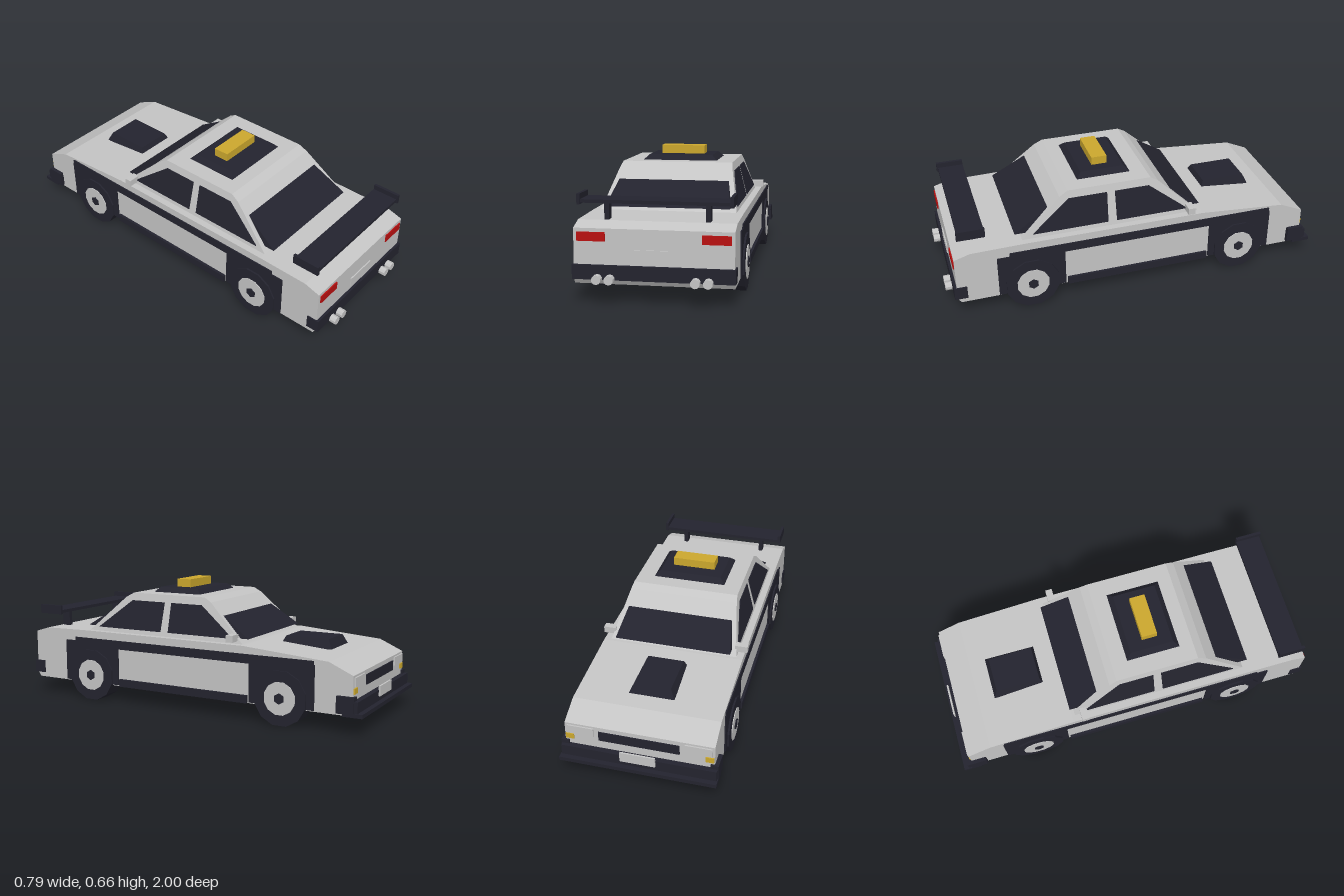
import * as THREE from 'three';

const paint = (name, color) => {
  const m = new THREE.MeshStandardMaterial({ color });
  m.name = name;
  return m;
};

export function createModel() {
  const silver = paint('silver', 0xc4c4c4);
  const black = paint('charcoal', 0x23232e);
  const yellow = paint('amber', 0xcba72d);
  const red = paint('red', 0xb81010);

  const car = new THREE.Group();
  car.name = 'car';

  const add = (name, geometry, material, parent = car) => {
    const flat = geometry.index ? geometry.toNonIndexed() : geometry;
    flat.computeVertexNormals();
    const mesh = new THREE.Mesh(flat, material);
    mesh.name = name;
    parent.add(mesh);
    return mesh;
  };

  // Box given by its limits on each axis
  const box = (name, material, [x0, x1], [y0, y1], [z0, z1], parent) =>
    add(name, new THREE.BoxGeometry(x1 - x0, y1 - y0, z1 - z0)
      .translate((x0 + x1) / 2, (y0 + y1) / 2, (z0 + z1) / 2), material, parent);

  // Same box on both sides of the car
  const pair = (name, material, [x0, x1], ys, zs) => {
    box(name + 'Left', material, [x0, x1], ys, zs);
    box(name + 'Right', material, [-x1, -x0], ys, zs);
  };

  // Side profile of [z, y] points, extruded across x; place(x, y) moves each x from -0.5..0.5
  const prism = (name, material, profile, place) => {
    const shape = new THREE.Shape(profile.map(([z, y]) => new THREE.Vector2(z, y)));
    const g = new THREE.ExtrudeGeometry(shape, { depth: 1, bevelEnabled: false });
    g.translate(0, 0, -0.5).rotateY(-Math.PI / 2);
    const p = g.attributes.position;
    for (let i = 0; i < p.count; i++) p.setX(i, place(p.getX(i), p.getY(i)));
    return add(name, g, material);
  };

  // Box whose top face is drawn in by an inset
  const frustum = (name, material, [x0, x1], [y0, y1], [z0, z1], inset) => {
    const w = x1 - x0, d = z1 - z0;
    const g = new THREE.BoxGeometry(w, y1 - y0, d);
    const p = g.attributes.position;
    for (let i = 0; i < p.count; i++) {
      if (p.getY(i) < 0) continue;
      p.setX(i, p.getX(i) * (1 - 2 * inset / w));
      p.setZ(i, p.getZ(i) * (1 - 2 * inset / d));
    }
    g.translate((x0 + x1) / 2, (y0 + y1) / 2, (z0 + z1) / 2);
    return add(name, g, material);
  };

  // Body shell; the nose points to -z
  prism('body', silver, [
    [0.935, 0.09], [0.952, 0.115], [0.952, 0.35], [0.87, 0.375], [0.6, 0.379],
    [-0.36, 0.377], [-0.82, 0.341], [-0.945, 0.285], [-0.945, 0.09],
  ], (x) => x * 0.74);

  // Cabin with sides leaning inwards
  const cabinHalf = (y) => 0.335 - (y - 0.378) * 0.25;
  prism('cabin', silver, [
    [0.61, 0.37], [0.39, 0.568], [0.345, 0.593], [-0.095, 0.593], [-0.135, 0.57], [-0.35, 0.37],
  ], (x, y) => 2 * x * cabinHalf(y));

  // Front and rear screens, standing slightly proud of the cabin
  const screenX = (x, y) => 2 * x * (cabinHalf(y) - 0.024);
  prism('rearScreen', black, [[0.632, 0.4], [0.435, 0.523], [0.36, 0.523], [0.5, 0.4]], screenX);
  prism('windscreen', black, [[-0.362, 0.4], [-0.25, 0.4], [-0.12, 0.523], [-0.178, 0.523]], screenX);

  // Side windows as thin plates following the lean of the cabin
  for (const side of [-1, 1]) {
    const plate = (x, y) => side * cabinHalf(y) + x * 0.009;
    const tag = side > 0 ? 'Left' : 'Right';
    prism('rearSideWindow' + tag, black, [[0.543, 0.4], [0.345, 0.553], [0.142, 0.553], [0.147, 0.4]], plate);
    prism('frontSideWindow' + tag, black, [[0.1, 0.4], [0.1, 0.553], [-0.083, 0.553], [-0.285, 0.4]], plate);
  }

  // Side trim
  pair('rearArchPanel', black, [0.368, 0.376], [0.095, 0.318], [0.39, 0.74]);
  pair('frontArchPanel', black, [0.368, 0.376], [0.095, 0.318], [-0.75, -0.4]);
  pair('sideStripe', black, [0.368, 0.3765], [0.292, 0.338], [-0.745, 0.675]);
  pair('sill', black, [0.368, 0.384], [0.09, 0.13], [-0.39, 0.38]);
  pair('mirror', silver, [0.32, 0.385], [0.39, 0.425], [-0.312, -0.275]);

  // Wheels: tyre, rim and hub
  const disc = (r, sides, x0, x1) => new THREE.CylinderGeometry(r, r, x1 - x0, sides)
    .rotateY(Math.PI / sides).rotateZ(-Math.PI / 2).translate((x0 + x1) / 2, 0, 0);
  for (const z of [0.565, -0.573]) {
    for (const side of [-1, 1]) {
      const wheel = new THREE.Group();
      wheel.name = (z > 0 ? 'rear' : 'front') + 'Wheel' + (side > 0 ? 'Left' : 'Right');
      wheel.position.set(0, 0.1367, z);
      if (side < 0) wheel.rotation.y = Math.PI;
      add('tyre', disc(0.1415, 12, 0.286, 0.385), black, wheel);
      add('rim', disc(0.085, 12, 0.282, 0.389), silver, wheel);
      add('hub', disc(0.028, 6, 0.3, 0.394), black, wheel);
      car.add(wheel);
    }
  }

  // Roof lamp and bonnet scoop
  frustum('roofLampBase', black, [-0.195, 0.195], [0.59, 0.619], [-0.015, 0.275], 0.03);
  box('roofLamp', yellow, [-0.113, 0.113], [0.615, 0.662], [0.09, 0.172]);
  frustum('bonnetScoop', black, [-0.115, 0.115], [0.35, 0.398], [-0.73, -0.45], 0.022);

  // Rear wing
  box('wingBlade', black, [-0.35, 0.35], [0.46, 0.476], [0.785, 0.92]);
  pair('wingEndPlate', black, [0.345, 0.36], [0.453, 0.502], [0.785, 0.927]);
  pair('wingStrut', black, [0.226, 0.248], [0.365, 0.465], [0.815, 0.86]);

  // Tail
  box('rearBumper', black, [-0.376, 0.376], [0.115, 0.183], [0.9, 0.966]);
  pair('tailLight', red, [0.222, 0.355], [0.291, 0.333], [0.95, 0.958]);
  box('rearPlate', silver, [-0.087, 0.087], [0.205, 0.256], [0.95, 0.958]);
  for (const x of [-0.255, -0.197, 0.197, 0.255]) {
    add('exhaust', new THREE.CylinderGeometry(0.022, 0.022, 0.12, 10)
      .rotateX(Math.PI / 2).translate(x, 0.121, 0.94), silver);
  }

  // Nose
  box('frontBumper', black, [-0.385, 0.385], [0.1, 0.165], [-0.974, -0.865]);
  pair('bumperCorner', black, [0.35, 0.39], [0.105, 0.185], [-0.956, -0.867]);
  box('frontLip', black, [-0.39, 0.39], [0.09, 0.11], [-1, -0.9]);
  box('frontPlate', silver, [-0.088, 0.088], [0.134, 0.186], [-0.982, -0.973]);
  box('grille', black, [-0.2, 0.2], [0.212, 0.262], [-0.951, -0.943]);
  pair('headlight', silver, [0.225, 0.357], [0.23, 0.275], [-0.952, -0.943]);
  pair('indicator', yellow, [0.325, 0.366], [0.196, 0.224], [-0.951, -0.943]);

  return car;
}
